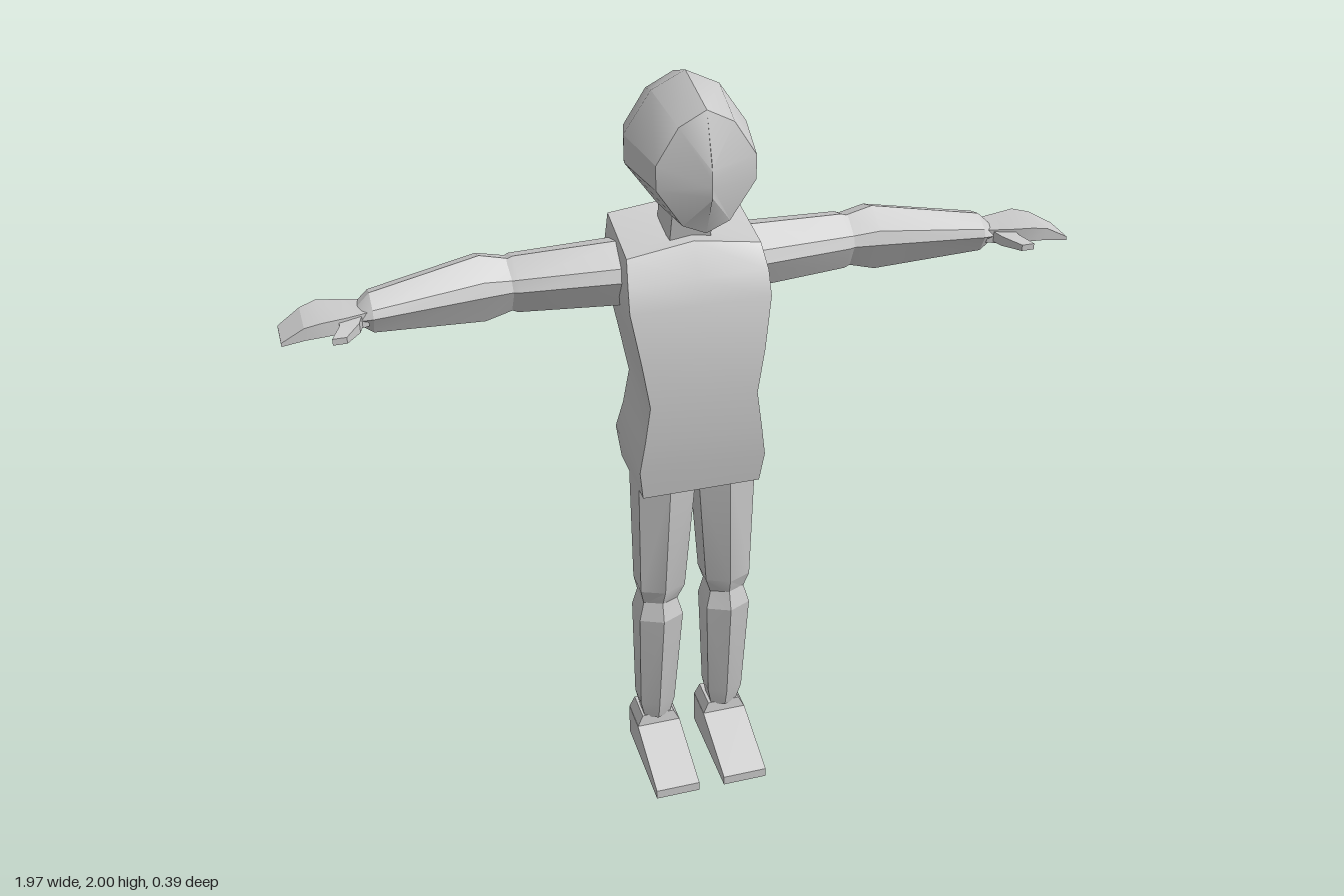
import * as THREE from 'three';
import { toCreasedNormals } from 'three/addons/utils/BufferGeometryUtils.js';

const material = new THREE.MeshStandardMaterial({ color: 0xcccccc });

// Skin a list of closed rings of [x, y, z] points, cap both ends, face outward
function loft(name, rings, crease = 0.3) {
  const tris = [];
  const n = rings[0].length;
  for (let r = 0; r < rings.length - 1; r++) {
    for (let i = 0; i < n; i++) {
      const j = (i + 1) % n;
      const [a, b, c, d] = [rings[r][i], rings[r][j], rings[r + 1][j], rings[r + 1][i]];
      tris.push([a, b, c], [a, c, d]);
    }
  }
  const cap = (ring, flip) => {
    const mid = [0, 1, 2].map(k => ring.reduce((s, p) => s + p[k], 0) / n);
    ring.forEach((p, i) => {
      const q = ring[(i + 1) % n];
      tris.push(flip ? [mid, q, p] : [mid, p, q]);
    });
  };
  cap(rings[0], true);
  cap(rings[rings.length - 1], false);

  // A negative signed volume means the winding points inward
  const vec = p => new THREE.Vector3(...p);
  let volume = 0;
  const solid = tris.filter(t => {
    const [a, b, c] = t.map(vec);
    volume += a.dot(b.clone().cross(c));
    return b.sub(a).cross(c.sub(a)).length() > 1e-9;
  });
  if (volume < 0) solid.forEach(t => t.reverse());
  const geometry = new THREE.BufferGeometry();
  geometry.setAttribute('position', new THREE.Float32BufferAttribute(solid.flat(2), 3));
  const mesh = new THREE.Mesh(toCreasedNormals(geometry, crease), material);
  mesh.name = name;
  return mesh;
}

// Rectangle at height y
const rect = (y, x0, x1, z0, z1) => [[x0, y, z0], [x1, y, z0], [x1, y, z1], [x0, y, z1]];

function head() {
  // Right half of the outline, from crown to chin
  const outline = [[0, 1], [0.55, 0.77], [1, 0.2], [1, -0.2], [0.48, -0.83], [0, -1]];
  const full = [...outline, ...outline.slice(1, -1).reverse().map(([x, y]) => [-x, y])];
  // z, centre height, half width, half height
  const sections = [
    [0.165, 1.805, 0, 0.04], [0.12, 1.815, 0.12, 0.15], [-0.05, 1.825, 0.15, 0.175],
    [-0.15, 1.812, 0.125, 0.152], [-0.19, 1.79, 0, 0.09],
  ];
  return loft('head', sections.map(([z, c, w, h]) =>
    full.map(([x, y]) => [x * w, c + y * h, z])), 0.55);
}

function torso() {
  // height, half width, back z, front z
  const sections = [
    [0.935, 0.155, -0.125, 0.09], [1.02, 0.165, -0.14, 0.102], [1.11, 0.152, -0.107, 0.11],
    [1.21, 0.138, -0.093, 0.112], [1.33, 0.157, -0.125, 0.108], [1.46, 0.178, -0.165, 0.085],
    [1.52, 0.176, -0.17, 0.065],
  ];
  const ring = (y, w, b, f) => [[-w, y, b], [0, y, b], [w, y, b], [w, y, f], [0, y, f], [-w, y, f]];
  const rings = sections.map(s => ring(...s));
  // Sloping shoulder line, higher at the back and in the middle
  rings.push([[-0.165, 1.615, -0.165], [0, 1.635, -0.165], [0.165, 1.615, -0.165],
    [0.168, 1.577, 0.025], [0, 1.603, 0.025], [-0.168, 1.577, 0.025]]);
  return loft('torso', rings, 0.5);
}

function arm(s) {
  const group = new THREE.Group();
  group.name = s > 0 ? 'leftArm' : 'rightArm';
  // Section as [z, y] fractions of the half depth and half height
  const section = [[0.05, 1], [0.85, 0.45], [1, 0.02], [0.55, -1], [-0.5, -1], [-1, 0], [-0.7, 0.75]];
  const ring = ([x, y, h, z0, z1]) => section.map(([a, b]) =>
    [s * x, y + b * h, (z0 + z1) / 2 + a * (z1 - z0) / 2]);
  // x, centre y, half height, back z, front z
  group.add(loft('upperArm', [
    [0.14, 1.505, 0.077, -0.165, 0.012], [0.42, 1.503, 0.066, -0.165, -0.018],
    [0.45, 1.503, 0.055, -0.15, -0.03],
  ].map(ring)));
  group.add(loft('forearm', [
    [0.42, 1.503, 0.058, -0.16, -0.025], [0.5, 1.503, 0.078, -0.17, -0.015],
    [0.77, 1.503, 0.045, -0.095, 0.018], [0.8, 1.5, 0.02, -0.08, 0.01],
  ].map(ring)));

  // Flat slabs swept along x: x, back z, front z, bottom y, top y
  const slab = ([x, z0, z1, y0, y1]) =>
    [[s * x, y0, z0], [s * x, y0, z1], [s * x, y1, z1], [s * x, y1, z0]];
  group.add(loft('hand', [
    [0.78, -0.068, 0.005, 1.483, 1.518], [0.83, -0.077, 0.022, 1.482, 1.52],
    [0.89, -0.085, 0.04, 1.488, 1.524], [0.93, -0.068, 0.042, 1.487, 1.518],
    [0.985, -0.045, 0.045, 1.481, 1.49],
  ].map(slab)));
  // Thumb, swept forward along z: z, x range, y range
  group.add(loft('thumb', [
    [-0.01, 0.79, 0.85, 1.486, 1.515], [0.04, 0.805, 0.85, 1.487, 1.512],
    [0.085, 0.84, 0.873, 1.488, 1.504],
  ].map(([z, x0, x1, y0, y1]) =>
    [[s * x0, y0, z], [s * x1, y0, z], [s * x1, y1, z], [s * x0, y1, z]])));
  return group;
}

function leg(s) {
  const group = new THREE.Group();
  group.name = s > 0 ? 'leftLeg' : 'rightLeg';
  const section = [[0, 1], [1, 0.65], [1, -0.4], [0, -1], [-1, -0.4], [-1, 0.65]];
  // height, inner x, outer x, back z, front z
  const ring = ([y, x0, x1, z0, z1]) => section.map(([a, b]) =>
    [s * ((x0 + x1) / 2 + a * (x1 - x0) / 2), y, (z0 + z1) / 2 + b * (z1 - z0) / 2]);
  group.add(loft('thigh', [
    [0.96, 0.003, 0.156, -0.1, 0.085], [0.6, 0.03, 0.152, -0.085, 0.063],
    [0.545, 0.048, 0.14, -0.08, 0.042],
  ].map(ring)));
  group.add(loft('shin', [
    [0.555, 0.048, 0.14, -0.085, 0.045], [0.5, 0.034, 0.155, -0.097, 0.06],
    [0.18, 0.05, 0.148, -0.1, 0.02], [0.12, 0.062, 0.135, -0.088, 0.005],
  ].map(ring)));

  // Wedge foot and the tapered ankle block on its heel
  const profile = [[-0.095, 0], [0.197, 0], [0.197, 0.027], [0, 0.097], [-0.095, 0.097]];
  group.add(loft('foot', [0.036, 0.159].map(x => profile.map(([z, y]) => [s * x, y, z]))));
  group.add(loft('ankle', [
    rect(0.095, s * 0.036, s * 0.159, -0.095, 0),
    rect(0.128, s * 0.052, s * 0.143, -0.093, -0.005),
  ]));
  return group;
}

export function createModel() {
  const model = new THREE.Group();
  model.name = 'figure';
  model.add(head(), torso());
  model.add(loft('neck', [
    rect(1.57, -0.052, 0.052, -0.13, -0.015), rect(1.69, -0.05, 0.05, -0.1, 0.015),
  ]));
  for (const s of [1, -1]) model.add(arm(s), leg(s));
  return model;
}
